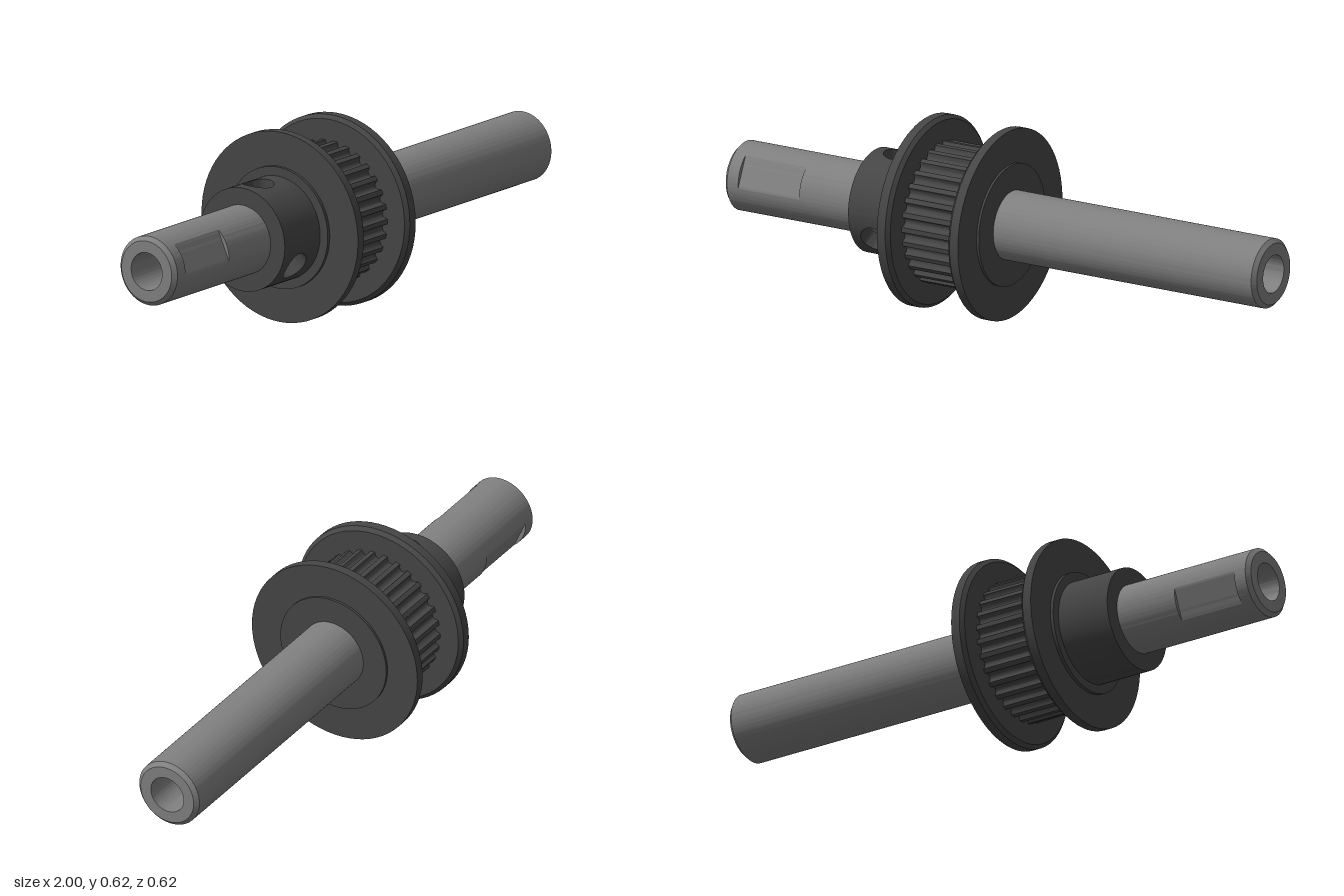
import * as THREE from 'three';
import { toCreasedNormals } from 'three/addons/utils/BufferGeometryUtils.js';

const DEG = Math.PI / 180;
const AXIS_Y = 0.3125;

// Surface through a grid of points; closed loops simply repeat the first column.
function grid(nu, nv, point, crease = 0.4) {
  const pos = [], index = [];
  for (let i = 0; i <= nu; i++) for (let j = 0; j <= nv; j++) pos.push(...point(i, j));
  for (let i = 0; i < nu; i++) {
    for (let j = 0; j < nv; j++) {
      const a = i * (nv + 1) + j, b = a + nv + 1;
      index.push(a, b + 1, b, a, a + 1, b + 1);
    }
  }
  const g = new THREE.BufferGeometry();
  g.setAttribute('position', new THREE.Float32BufferAttribute(pos, 3));
  g.setIndex(index);
  return toCreasedNormals(g, crease);
}

// Sweep of a profile [x, radius, flag] about the x axis; angle 0 is up, 90 is front.
function sweep(profile, { from = 0, to = 360, segments = 72, radius = (r) => r, crease = 0.4 } = {}) {
  return grid(profile.length - 1, segments, (i, j) => {
    const [x, r, flag] = profile[i];
    const deg = from + ((to - from) * j) / segments;
    const rr = radius(r, deg, flag);
    return [x, rr * Math.cos(deg * DEG), rr * Math.sin(deg * DEG)];
  }, crease);
}

export function createModel() {
  const steel = new THREE.MeshStandardMaterial({ color: 0x808080 });
  steel.name = 'shaft steel';
  const dark = new THREE.MeshStandardMaterial({ color: 0x464646 });
  dark.name = 'dark pulley metal';

  const model = new THREE.Group();
  model.name = 'pulleyOnShaft';
  const add = (name, geometry, material, parent = model) => {
    const mesh = new THREE.Mesh(geometry, material);
    mesh.name = name;
    parent.add(mesh);
    return mesh;
  };

  // Hollow shaft with chamfered ends and two opposite wrench flats
  const R = 0.1135, BORE = 0.062;
  const flatRadius = (r, deg, flat) => {
    if (!flat) return r;
    const d = ((((deg - 66) % 180) + 270) % 180) - 90;
    return Math.abs(d) < 28 ? (r * Math.cos(28 * DEG)) / Math.cos(d * DEG) : r;
  };
  add('shaft', sweep([
    [-1, BORE], [-1, 0.1], [-0.987, R], [-0.945, R], [-0.945, R, true],
    [-0.715, R, true], [-0.715, R], [0.987, R], [1, 0.1], [1, BORE], [-1, BORE],
  ], { segments: 180, radius: flatRadius }), steel);

  const pulley = new THREE.Group();
  pulley.name = 'pulley';
  model.add(pulley);

  // Flanges with raised collars on their outer faces
  add('leftFlange', sweep([
    [0.016, 0.2], [0.016, 0.11],
  ].reverse().map(([x, r]) => [-0.292 - x, r]).concat([
    [-0.297, 0.2], [-0.297, 0.3125], [-0.266, 0.3125], [-0.254, 0.3], [-0.254, 0.2],
  ])), dark, pulley).name = 'hubSideFlange';
  add('outerFlange', sweep([
    [-0.035, 0.2], [-0.035, 0.3], [-0.023, 0.3125], [0.008, 0.3125],
    [0.008, 0.2], [0.016, 0.2], [0.016, 0.11],
  ]), dark, pulley);

  // Belt teeth: thirty rounded grooves
  const toothRadius = (r, deg) => {
    const d = Math.abs((((deg + 6) % 12) + 12) % 12 - 6);
    return d < 4 ? r - 0.019 * Math.sqrt(1 - (d / 4) ** 2) : r;
  };
  add('toothedDrum', sweep([[-0.254, 0.232], [-0.035, 0.232]],
    { segments: 360, radius: toothRadius, crease: 0.6 }), dark, pulley);

  // Hub: end ring, plain wall sectors, and wall patches with set screw holes
  const X0 = -0.495, X1 = -0.3, HUB = 0.17, HOLE_X = -0.41, HOLE = 0.05;
  add('hubEnd', sweep([[X0, 0.11], [X0, HUB]]), dark, pulley);
  for (const [from, to] of [[30, 90], [150, 390 - 30 - 0]]) {
    const end = to === 360 ? 330 : to;
    add('hubWall', sweep([[X0, HUB], [X1, HUB]],
      { from, to: end, segments: (end - from) / 5 }), dark, pulley);
  }
  const steps = 6, around = 48, half = HUB * Math.sin(30 * DEG);
  for (const turn of [0, 120]) {
    const geometry = grid(steps + 1, around, (i, j) => {
      const a = (j / around) * 2 * Math.PI, c = Math.cos(a), s = Math.sin(a);
      const k = 1 / Math.max(Math.abs(c), Math.abs(s));
      const t = Math.max(0, i - 1) / steps;
      const edgeX = (X0 + X1) / 2 + (c * k * (X1 - X0)) / 2;
      const x = THREE.MathUtils.lerp(HOLE_X + HOLE * c, edgeX, t);
      const z = THREE.MathUtils.lerp(HOLE * s, half * s * k, t);
      return [x, i === 0 ? 0.09 : Math.sqrt(HUB * HUB - z * z), z];
    });
    add('setScrewHole', geometry, dark, pulley).rotation.x = turn * DEG;
  }

  model.children.forEach((part) => { part.position.y = AXIS_Y; });
  return model;
}
